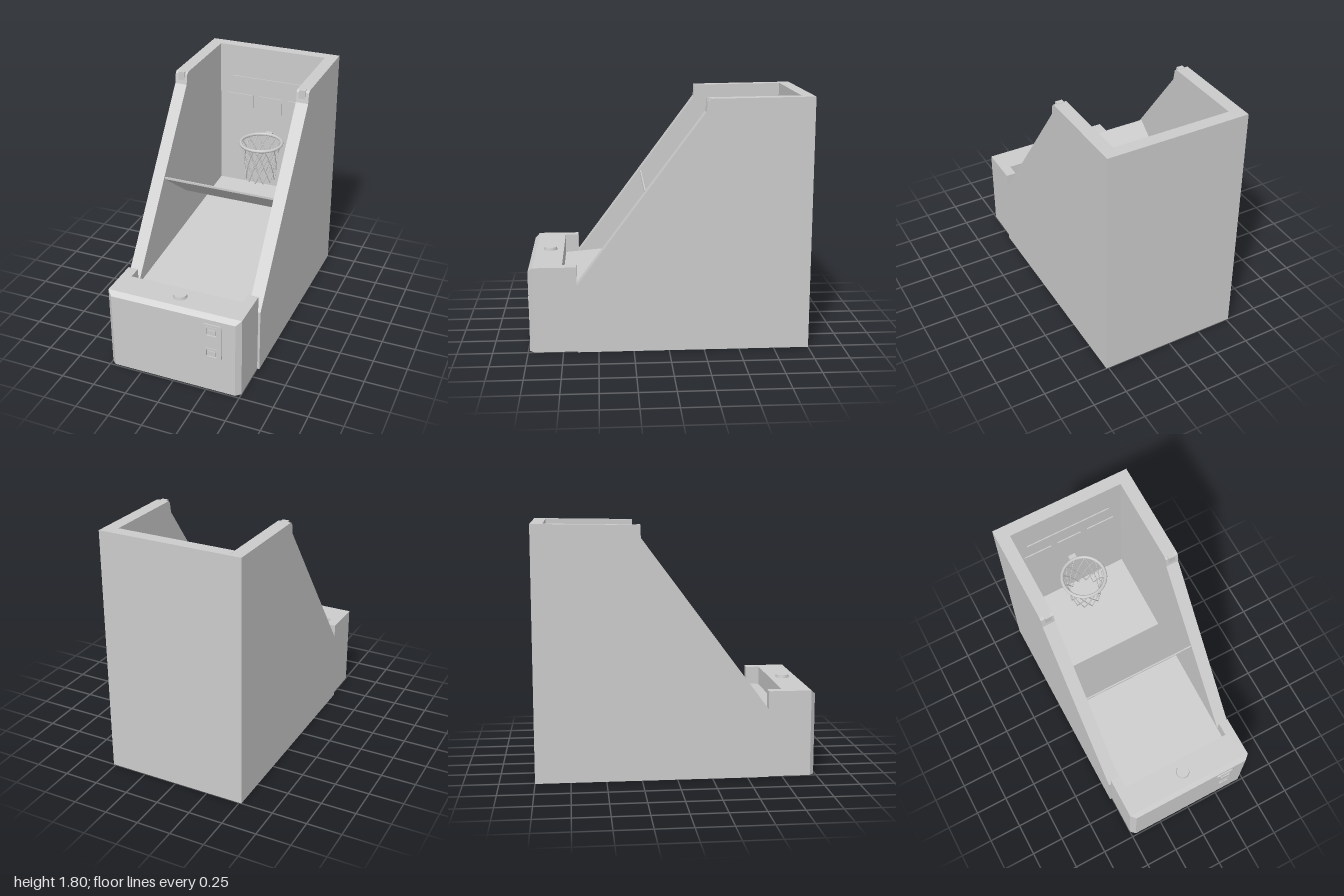
import * as THREE from 'three';

const mat = new THREE.MeshStandardMaterial({ color: 0xcccccc, flatShading: true });
const smooth = new THREE.MeshStandardMaterial({ color: 0xcccccc });

export function createModel() {
  const root = new THREE.Group();

  const add = (name, geometry, material = mat, parent = root) => {
    const mesh = new THREE.Mesh(geometry, material);
    mesh.name = name;
    parent.add(mesh);
    return mesh;
  };

  // box given by its limits on each axis
  const box = (name, x0, x1, y0, y1, z0, z1, parent = root) => {
    const m = add(name, new THREE.BoxGeometry(x1 - x0, y1 - y0, z1 - z0), mat, parent);
    m.position.set((x0 + x1) / 2, (y0 + y1) / 2, (z0 + z1) / 2);
    return m;
  };

  // side profile of [z, y] points, extruded from x0 to x1
  const profile = (name, points, x0, x1) => {
    const shape = new THREE.Shape(points.map(([z, y]) => new THREE.Vector2(-z, y)));
    const g = new THREE.ExtrudeGeometry(shape, { depth: x1 - x0, bevelEnabled: false });
    g.rotateY(Math.PI / 2).translate(x0, 0, 0);
    return add(name, g);
  };

  // rounded rectangle path centred on the origin
  const roundedRect = (w, h, r, Type = THREE.Shape) => {
    const s = new Type();
    s.moveTo(-w / 2 + r, -h / 2);
    s.lineTo(w / 2 - r, -h / 2).absarc(w / 2 - r, -h / 2 + r, r, -Math.PI / 2, 0);
    s.lineTo(w / 2, h / 2 - r).absarc(w / 2 - r, h / 2 - r, r, 0, Math.PI / 2);
    s.lineTo(-w / 2 + r, h / 2).absarc(-w / 2 + r, h / 2 - r, r, Math.PI / 2, Math.PI);
    s.lineTo(-w / 2, -h / 2 + r).absarc(-w / 2 + r, -h / 2 + r, r, Math.PI, Math.PI * 1.5);
    return s;
  };

  // cabinet sides with small caps on their upper front corners
  const side = [[0.65, 0], [0.65, 0.49], [-0.25, 1.7], [-0.262, 1.775], [-0.28, 1.79], [-1, 1.8], [-1, 0]];
  for (const s of [-1, 1]) {
    const [x0, x1] = s < 0 ? [-0.517, -0.425] : [0.425, 0.517];
    profile(s < 0 ? 'rightSidePanel' : 'leftSidePanel', side, x0, x1);
    box('cornerCap', s * 0.467 - 0.024, s * 0.467 + 0.024, 1.73, 1.792, -0.29, -0.253);
  }
  box('backWall', -0.425, 0.425, 0, 1.8, -1, -0.912);

  // sloping playfield and the tilted board above it
  profile('playfield', [[0.75, 0.33], [0.75, 0.48], [-0.915, 0.625], [-0.915, 0.52]], -0.425, 0.425);
  profile('tiltedBoard', [[0.165, 1.115], [0.165, 1.13], [0.155, 1.13], [-0.2, 0.855], [-0.2, 0.84]], -0.425, 0.425);

  // front box: U-shaped body, filler below the recess, chamfered face
  const u = new THREE.Shape([[-0.5, 0.65], [-0.425, 0.65], [-0.425, 0.75], [0.425, 0.75], [0.425, 0.65],
    [0.5, 0.65], [0.5, 0.955], [-0.5, 0.955]].map(([x, z]) => new THREE.Vector2(x, -z)));
  add('frontBox', new THREE.ExtrudeGeometry(u, { depth: 0.62, bevelEnabled: false }).rotateX(-Math.PI / 2));
  box('frontBoxInnerWall', -0.425, 0.425, 0, 0.46, 0.66, 0.75);
  const face = new THREE.BoxGeometry(1, 0.62, 0.033).translate(0, 0.31, 0.9715);
  const p = face.attributes.position;
  for (let i = 0; i < p.count; i++) {
    if (p.getZ(i) < 0.97) continue;
    p.setX(i, Math.sign(p.getX(i)) * 0.465);
    if (p.getY(i) > 0.3) p.setY(i, 0.59);
  }
  face.computeVertexNormals();
  add('frontFace', face);

  // start button on the front box
  add('button', new THREE.CylinderGeometry(0.046, 0.05, 0.022, 32)).position.set(0, 0.631, 0.848);

  // coin plate with two framed slots
  const coin = new THREE.Group();
  coin.name = 'coinPlate';
  coin.position.set(0.294, 0.413, 0.986);
  root.add(coin);
  const plate = roundedRect(0.145, 0.29, 0.025);
  for (const y of [0.085, -0.09]) {
    const hole = new THREE.Path([[-0.037, -0.028], [-0.037, 0.028], [0.037, 0.028], [0.037, -0.028]]
      .map(([hx, hy]) => new THREE.Vector2(hx, y + hy)));
    plate.holes.push(hole);
    const frame = roundedRect(0.1, 0.082, 0.01);
    frame.holes.push(roundedRect(0.076, 0.058, 0.004, THREE.Path));
    add('slotFrame', new THREE.ExtrudeGeometry(frame, { depth: 0.014, bevelEnabled: false }), mat, coin).position.y = y;
    box('slotFlap', -0.026, 0.026, y - 0.026, y + 0.012, 0, 0.008, coin);
  }
  add('plate', new THREE.ExtrudeGeometry(plate, { depth: 0.011, bevelEnabled: false }), mat, coin);

  // shallow display panels on the back wall
  for (const [x0, x1, y0, y1] of [[-0.325, 0.325, 1.45, 1.55], [-0.36, -0.147, 1.24, 1.4],
    [-0.095, 0.092, 1.24, 1.4], [0.145, 0.355, 1.24, 1.4]]) {
    box('displayPanel', x0, x1, y0, y1, -0.915, -0.904);
  }

  // hoop with bracket and net
  const hoop = new THREE.Group();
  hoop.name = 'hoop';
  hoop.position.set(0, 1.1, -0.71);
  root.add(hoop);
  add('rim', new THREE.TorusGeometry(0.163, 0.013, 8, 40).rotateX(Math.PI / 2), smooth, hoop);
  box('hoopBracket', -0.028, 0.028, -0.018, 0.01, -0.205, -0.16, hoop);

  const rows = 4, count = 12;
  const knot = (row, k) => {
    const t = row / rows, a = ((k + (row % 2) / 2) / count) * Math.PI * 2;
    const r = 0.158 - 0.042 * Math.sqrt(t);
    return new THREE.Vector3(Math.sin(a) * r, -0.31 * t, Math.cos(a) * r);
  };
  for (let row = 0; row < rows; row++) {
    for (let k = 0; k < count; k++) {
      const from = knot(row, k);
      const ends = row % 2 ? [k, k + 1] : [k, k - 1];
      for (const e of ends) {
        add('netCord', new THREE.TubeGeometry(new THREE.LineCurve3(from, knot(row + 1, e)), 1, 0.004, 5), smooth, hoop);
      }
    }
  }

  return root;
}
